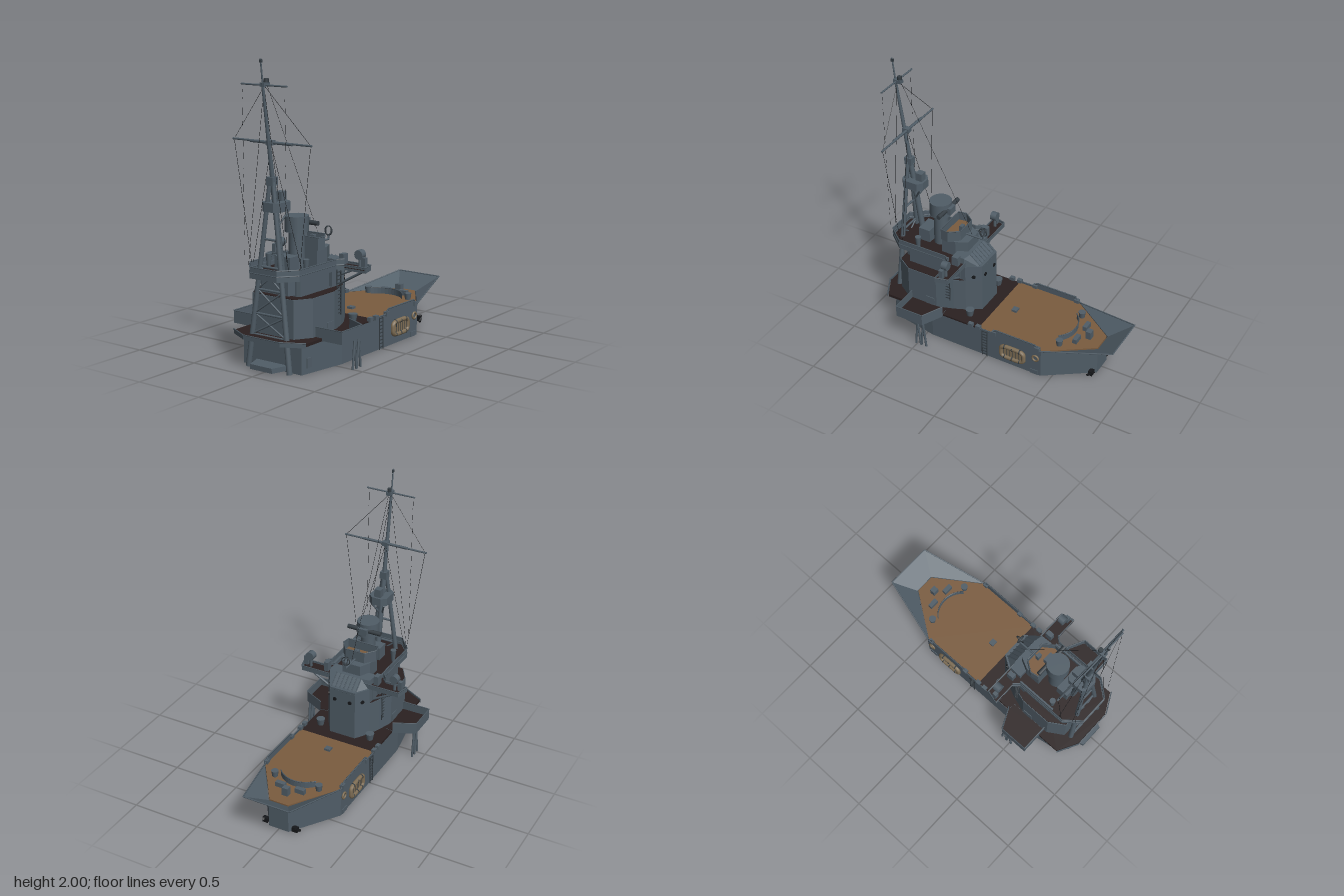
import * as THREE from 'three';

const mat = (name, color, side = THREE.FrontSide) => {
  const m = new THREE.MeshStandardMaterial({ color, side });
  m.name = name;
  return m;
};

export function createModel() {
  const root = new THREE.Group();
  root.name = 'shipSection';
  const grey = mat('hull grey', 0x505d67, THREE.DoubleSide);
  const dark = mat('dark grey', 0x353d43);
  const tan = mat('wood deck', 0x7b5c3f);
  const brown = mat('dark deck', 0x2a2020);
  const raft = mat('raft canvas', 0x7f6e55);
  const black = mat('black', 0x15171a);

  // Helpers
  const add = (name, geo, m) => {
    const mesh = new THREE.Mesh(geo, m);
    mesh.name = name;
    root.add(mesh);
    return mesh;
  };
  const V = (p) => new THREE.Vector3(...p);
  const both = (fn) => [1, -1].forEach(fn);
  const sym = (half) => [...half, ...half.slice().reverse().map(([x, z]) => [-x, z])];
  const at = (pts, y) => pts.map(([x, z]) => [x, y, z]);
  const box = (name, m, w, h, d, x, y, z) => {
    const b = add(name, new THREE.BoxGeometry(w, h, d), m);
    b.position.set(x, y, z);
    return b;
  };
  const cyl = (name, m, r0, r1, y0, y1, x, z, n = 16) => {
    const c = add(name, new THREE.CylinderGeometry(r1, r0, y1 - y0, n), m);
    c.position.set(x, (y0 + y1) / 2, z);
    return c;
  };
  const beam = (name, m, a, b, r0, r1 = r0, n = 8) => {
    const d = V(b).sub(V(a));
    const c = add(name, new THREE.CylinderGeometry(r1, r0, d.length(), n), m);
    c.position.copy(V(a)).addScaledVector(d, 0.5);
    c.quaternion.setFromUnitVectors(new THREE.Vector3(0, 1, 0), d.normalize());
    return c;
  };
  // Solid with an x/z outline between two heights
  const prism = (name, m, pts, y0, y1) => {
    const s = new THREE.Shape(pts.map((p) => new THREE.Vector2(...p)));
    const g = new THREE.ExtrudeGeometry(s, { depth: y1 - y0, bevelEnabled: false });
    return add(name, g.rotateX(Math.PI / 2).translate(0, y1, 0), m);
  };
  // Grey slab with a thin coloured covering, set in slightly from the edge
  const deck = (name, m, pts, y0, y1) => {
    prism(name + 'Slab', grey, pts, y0, y1 - 0.004);
    const cz = pts.reduce((t, p) => t + p[1], 0) / pts.length;
    const cx = pts.reduce((t, p) => t + p[0], 0) / pts.length;
    prism(name, m, pts.map(([x, z]) => [cx + (x - cx) * 0.98, cz + (z - cz) * 0.985]), y1 - 0.004, y1);
  };
  // Flat panels between two rows of points
  const strip = (name, m, a, b, closed = false) => {
    const pos = [];
    for (let i = 0; i < a.length - (closed ? 0 : 1); i++) {
      const j = (i + 1) % a.length;
      pos.push(...a[i], ...a[j], ...b[j], ...a[i], ...b[j], ...b[i]);
    }
    const g = new THREE.BufferGeometry();
    g.setAttribute('position', new THREE.Float32BufferAttribute(pos, 3));
    g.computeVertexNormals();
    return add(name, g, m);
  };
  const wall = (name, pts, y0, y1, closed = true) => {
    strip(name, grey, at(pts, y0), at(pts, y1), closed);
    const rim = at(pts, y1);
    rim.forEach((p, i) => {
      if (closed || i < rim.length - 1) beam(name + 'Rim', grey, p, rim[(i + 1) % rim.length], 0.004, 0.004, 5);
    });
  };
  const ladder = (x, y0, y1, z) => {
    both((s) => beam('ladderRail', dark, [x, y0, z + s * 0.02], [x, y1, z + s * 0.02], 0.004, 0.004, 5));
    for (let y = y0 + 0.015; y < y1; y += 0.025) box('ladderRung', dark, 0.006, 0.006, 0.04, x, y, z);
  };

  // Hull, open underneath, and decks
  const bow = sym([[0.3, -0.43], [0.075, -0.755]]);
  const hull = sym([[0.075, -0.755], [0.3, -0.43], [0.3, 0.45], [0.24, 0.8]]);
  strip('hull', grey, at(hull, 0), at(hull, 0.215), true);
  prism('foreDeck', tan, sym([[0.07, -0.75], [0.293, -0.43], [0.293, 0.07]]), 0.2, 0.22);
  const aft = sym([[0.3, 0.07], [0.3, 0.83], [0.15, 0.91]]);
  prism('aftDeck', brown, sym([[0.293, 0.07], [0.293, 0.825], [0.148, 0.902]]), 0.2, 0.22);
  wall('aftDeckEdge', aft.slice(1, 5), 0.195, 0.226, false);
  prism('aftDeckUnderside', grey, sym([[0.29, 0.78], [0.29, 0.825], [0.147, 0.9]]), 0.194, 0.199);
  prism('sternStep', grey, sym([[0.13, 0.8], [0.09, 0.915]]), 0.012, 0.045);

  // Flared bow screen and rim
  const rimPts = [[0.303, 0.222, -0.42], [0.175, 0.31, -0.91], [-0.175, 0.31, -0.91], [-0.303, 0.222, -0.42]];
  strip('bowScreen', grey, at(bow, 0.214), rimPts);
  for (let i = 0; i < 3; i++) beam('bowScreenRim', grey, rimPts[i], rimPts[i + 1], 0.005, 0.005, 6);

  both((s) => {
    // Side bulwark
    const top = [[0.07, 0.228], [-0.04, 0.228], [-0.075, 0.262], [-0.385, 0.262], [-0.43, 0.222]];
    strip('bulwark', grey, top.map(([z]) => [s * 0.301, 0.19, z]), top.map(([z, y]) => [s * 0.301, y, z]));
    for (let i = 0; i < 4; i++) beam('bulwarkRim', grey, [s * 0.301, top[i][1], top[i][0]], [s * 0.301, top[i + 1][1], top[i + 1][0]], 0.005, 0.005, 5);

    // Life raft with lashings, and ring buoy
    const loop = [];
    for (let i = 0; i < 24; i++) {
      const c = Math.cos(i * Math.PI / 12), n = Math.sin(i * Math.PI / 12);
      loop.push(new THREE.Vector3(s * 0.309, 0.11 + 0.046 * Math.sign(n) * Math.sqrt(Math.abs(n)), -0.21 + 0.09 * Math.sign(c) * Math.sqrt(Math.abs(c))));
    }
    add('lifeRaft', new THREE.TubeGeometry(new THREE.CatmullRomCurve3(loop, true), 64, 0.016, 8, true), raft);
    [-0.06, 0, 0.06].forEach((dz) => both((t) => {
      const band = cyl('raftLashing', dark, 0.0172, 0.0172, 0, 0.008, s * 0.309, -0.21 + dz, 8);
      band.rotation.x = Math.PI / 2;
      band.position.y = 0.11 + t * 0.044;
    }));
    box('raftFloor', raft, 0.008, 0.085, 0.17, s * 0.305, 0.11, -0.21);
    for (let i = -3; i <= 3; i++) box('raftSlat', dark, 0.01, 0.085, 0.004, s * 0.306, 0.11, -0.21 + i * 0.024);
    const buoy = add('ringBuoy', new THREE.TorusGeometry(0.022, 0.007, 8, 20), raft);
    buoy.position.set(s * 0.305, 0.147, -0.39);
    buoy.rotation.y = Math.PI / 2;
    ladder(s * 0.306, 0, 0.22, 0.015);
    box('hullDoor', grey, 0.006, 0.035, 0.06, s * 0.302, 0.018, -0.38);
    box('sternDoor', grey, 0.008, 0.065, 0.045, s * 0.254, 0.073, 0.74);

    // Anchors at the foot of the bow
    box('anchorStock', black, 0.04, 0.035, 0.03, s * 0.115, 0.022, -0.73);
    beam('anchorArm', black, [s * 0.14, 0.005, -0.71], [s * 0.12, 0.04, -0.755], 0.009);

    // Side gun platform on splayed legs
    const plat = [[0.24, 0.37], [0.295, 0.365], [0.45, 0.44], [0.45, 0.655], [0.24, 0.655]].map(([x, z]) => [s * x, z]);
    deck('sidePlatform', brown, plat, 0.203, 0.226);
    wall('sidePlatformScreen', plat.slice(1), 0.202, 0.288, false);
    [[0.425, 0.445], [0.465, 0.445], [0.47, 0.49], [0.51, 0.49]].forEach(([z0, z1]) =>
      beam('platformLeg', grey, [s * 0.43, 0, z0], [s * 0.43, 0.205, z1], 0.008));

    // Fore deck fittings
    cyl('capstan', grey, 0.02, 0.026, 0.22, 0.265, s * 0.172, -0.505);
    box('windlass', grey, 0.07, 0.035, 0.032, s * 0.077, 0.238, -0.59);
    cyl('ventilator', grey, 0.022, 0.032, 0.22, 0.27, s * 0.2, 0.195, 12);
    [0.07, 0.13, -0.4, -0.06].forEach((z) => box('cleat', grey, 0.028, 0.03, 0.035, s * 0.298, 0.23, z));
  });
  [[-0.65, 0.25], [-0.06, 0.228]].forEach(([z, y]) => box('deckHatch', grey, 0.045, 2 * (y - 0.22), 0.04, 0, y, z));
  const arc = [];
  for (let i = 0; i <= 12; i++) {
    const a = (i / 12 - 0.5) * 1.75;
    arc.push([0.18 * Math.sin(a), -0.365 - 0.18 * Math.cos(a)]);
  }
  wall('breakwater', arc, 0.22, 0.265, false);

  // Tower
  deck('lowerTower', brown, sym([[0.1, 0.15], [0.165, 0.25], [0.2, 0.33], [0.24, 0.45], [0.24, 0.68], [0.17, 0.79]]), 0.22, 0.482);
  prism('upperTower', grey, sym([[0.1, 0.15], [0.165, 0.25], [0.165, 0.71], [0.14, 0.72]]), 0.478, 0.6);
  const lip = sym([[0.1, 0.15], [0.165, 0.25], [0.165, 0.35]]);
  const roof = sym([[0.1, 0.25], [0.16, 0.262], [0.165, 0.35]]);
  strip('slopedRoof', grey, at(lip, 0.58), at(roof, 0.665), true);
  prism('roofTop', grey, roof, 0.655, 0.665);
  for (let i = -3; i <= 3; i++) beam('roofRib', grey, [i * 0.032, 0.583, 0.15], [i * 0.032, 0.668, 0.25], 0.004, 0.004, 4);
  prism('rearCabin', grey, sym([[0.13, 0.71], [0.11, 0.77]]), 0.49, 0.6);
  both((s) => {
    [[0.06, 0.148, Math.PI / 2], [0.134, 0.2, 0.576]].forEach(([x, z, turn]) => {
      const p = add('porthole', new THREE.CylinderGeometry(0.014, 0.014, 0.008, 14), black);
      p.rotation.set(0, s * turn, Math.PI / 2, 'YXZ');
      p.position.set(s * x, 0.51, z);
    });
    box('towerDoor', grey, 0.008, 0.1, 0.05, s * 0.167, 0.54, 0.31);
    box('towerLocker', grey, 0.03, 0.1, 0.04, s * 0.175, 0.545, 0.39);
    box('lowerPlate', grey, 0.006, 0.065, 0.07, s * 0.242, 0.255, 0.5);
    ladder(s * 0.215, 0.3, 0.61, 0.37);
    beam('wingStrut', grey, [s * 0.37, 0.605, 0.3], [s * 0.165, 0.49, 0.3], 0.009);
    beam('wingStay', grey, [s * 0.3, 0.605, 0.33], [s * 0.165, 0.55, 0.33], 0.006);
    // Searchlight on each wing
    cyl('searchlightStand', grey, 0.012, 0.01, 0.62, 0.69, s * 0.335, 0.3, 8);
    const lamp = cyl('searchlight', grey, 0.032, 0.032, 0, 0.045, s * 0.335, 0.3);
    lamp.rotation.x = Math.PI / 2;
    lamp.position.y = 0.71;
    box('wingSight', grey, 0.03, 0.07, 0.03, s * 0.375, 0.66, 0.31);
    cyl('platformVent', grey, 0.012, 0.022, 0.62, 0.715, s * 0.155, 0.64, 10);
    box('platformLocker', grey, 0.035, 0.07, 0.05, s * 0.2, 0.665, 0.3);
    box('platformRail', grey, 0.012, 0.03, 0.3, s * 0.185, 0.635, 0.52);
  });

  // Bridge platform with wings
  const bridge = sym([[0.165, 0.25], [0.385, 0.25], [0.41, 0.345], [0.24, 0.345], [0.205, 0.385], [0.205, 0.77], [0.11, 0.885]]);
  deck('bridgePlatform', brown, bridge, 0.602, 0.622);
  wall('bridgeScreen', bridge, 0.6, 0.637);
  wall('upperScreen', bridge.slice(3, 11), 0.637, 0.675, false);
  prism('bridgeHouse', grey, sym([[0.07, 0.28], [0.11, 0.36], [0.11, 0.47]]), 0.62, 0.742);
  const top = sym([[0.075, 0.335], [0.13, 0.41], [0.12, 0.47]]);
  deck('bridgeFloor', tan, top, 0.738, 0.756);
  wall('compassScreen', top, 0.736, 0.822);
  box('chartTable', grey, 0.035, 0.06, 0.025, 0, 0.785, 0.37);

  // Direction-finding ring on an arm
  beam('ringArm', grey, [0, 0.755, 0.36], [0, 0.755, 0.195], 0.007);
  beam('ringStem', grey, [0, 0.75, 0.2], [0, 0.785, 0.2], 0.006);
  [0, Math.PI / 2].forEach((turn) => {
    const r = add('finderRing', new THREE.TorusGeometry(0.03, 0.004, 6, 24), dark);
    r.position.set(0, 0.813, 0.2);
    r.rotation.y = turn;
  });

  // Gun director
  cyl('directorColumn', grey, 0.055, 0.052, 0.62, 0.87, 0, 0.54, 24);
  cyl('directorDrum', grey, 0.08, 0.08, 0.865, 0.97, 0, 0.54, 24);
  beam('rangefinder', dark, [-0.13, 0.92, 0.48], [0.13, 0.92, 0.48], 0.016, 0.016, 12);
  box('directorHood', grey, 0.07, 0.05, 0.04, 0, 0.92, 0.46);
  box('mastLocker', grey, 0.13, 0.1, 0.09, 0, 0.67, 0.645);

  // Tripod mast
  const mastZ = (y) => 0.7 + (y - 0.68) * 0.144;
  beam('mast', grey, [0, 0.6, mastZ(0.6)], [0, 1.25, mastZ(1.25)], 0.022, 0.018, 12);
  beam('topMast', grey, [0, 1.2, mastZ(1.2)], [0, 1.85, mastZ(1.85)], 0.016, 0.009, 10);
  beam('mastPole', grey, [0, 1.82, mastZ(1.82)], [0, 2, 0.885], 0.006, 0.005);
  const leg = (s, y) => [s * (0.17 - 0.128 * y), y, 0.835 - 0.036 * y];
  both((s) => beam('mastLeg', grey, leg(s, 0), leg(s, 1.22), 0.02, 0.014, 10));
  [0.22, 0.36, 0.52, 0.67, 0.85].forEach((y, i, a) => {
    beam('mastCrossbar', grey, leg(-1, y), leg(1, y), 0.008);
    if (i < 3) both((s) => beam('mastBrace', grey, leg(s, y), leg(-s, a[i + 1]), 0.006));
  });
  box('mastCollar', grey, 0.05, 0.055, 0.055, 0, 1.225, 0.785);
  prism('lookoutTop', grey, sym([[0.035, 0.66], [0.07, 0.69], [0.07, 0.8], [0.04, 0.825]]), 1.03, 1.09);
  box('lookoutHood', grey, 0.05, 0.06, 0.05, 0, 1.12, 0.7);
  both((s) => beam('lookoutStrut', grey, [s * 0.05, 1.03, 0.68], [s * 0.01, 0.93, 0.74], 0.007));

  // Yards, mast fittings and masthead lamp
  beam('lowerYard', grey, [-0.32, 1.472, 0.785], [0.32, 1.472, 0.785], 0.007);
  beam('yardSling', grey, [-0.17, 1.47, 0.79], [0.17, 1.47, 0.79], 0.01);
  beam('upperYard', grey, [-0.185, 1.835, 0.855], [0.185, 1.835, 0.855], 0.006);
  box('yardBracket', grey, 0.04, 0.03, 0.05, 0, 1.47, 0.795);
  box('mastheadBracket', grey, 0.035, 0.025, 0.06, 0, 1.838, 0.845);
  cyl('mastheadLamp', dark, 0.016, 0.016, 1.842, 1.875, 0, 0.832, 8);
  box('poleTip', dark, 0.01, 0.02, 0.02, 0, 1.985, 0.882);

  // Rigging
  const wire = (a, b) => beam('rigging', black, a, b, 0.0013, 0.0013, 4);
  wire([0, 1.845, 0.83], [0, 0.77, 0.29]);
  both((s) => {
    wire([0, 1.83, 0.85], [s * 0.31, 1.472, 0.785]);
    wire([s * 0.31, 1.472, 0.785], [s * 0.2, 0.67, 0.76]);
    wire([0, 1.83, 0.855], [s * 0.165, 0.67, 0.83]);
    wire([0, 1.46, 0.79], [s * 0.2, 0.67, 0.74]);
    for (let y = 1.8; y > 0.75; y -= 0.1) wire([s * 0.172, y, 0.86], [s * 0.17, y - 0.06, 0.86]);
  });
  return root;
}
